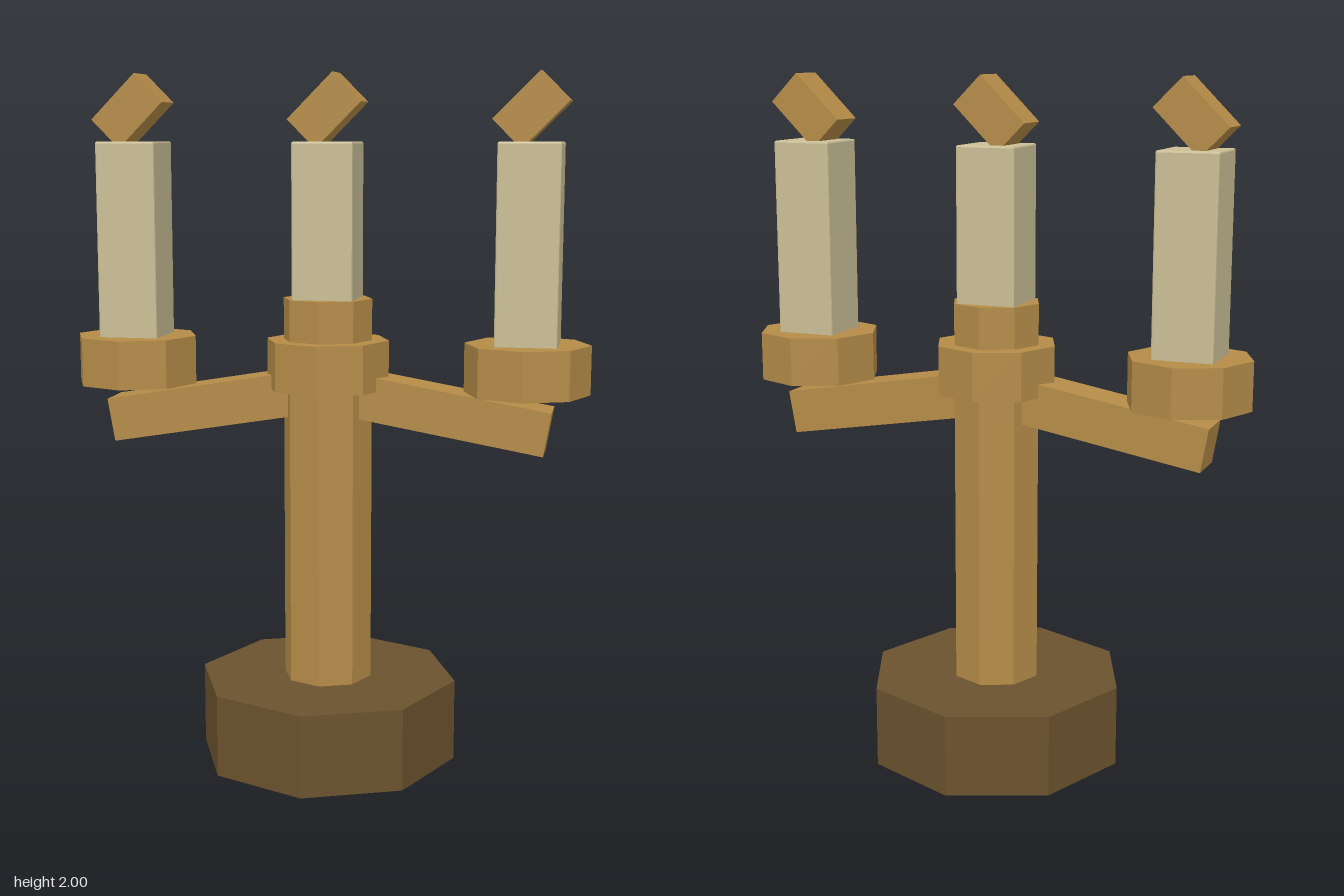
import * as THREE from 'three';
import { RoundedBoxGeometry } from 'three/addons/geometries/RoundedBoxGeometry.js';

function material(name, color) {
  const m = new THREE.MeshStandardMaterial({ color, flatShading: true });
  m.name = name;
  return m;
}

export function createModel() {
  const group = new THREE.Group();
  group.name = 'candelabra';
  const brass = material('brass', 0xb58c48);
  const darkWood = material('dark wood', 0x6b522d);
  const wax = material('wax', 0xcbbf96);

  function add(name, geometry, mat, x, y, tilt = 0) {
    const mesh = new THREE.Mesh(geometry, mat);
    mesh.name = name;
    mesh.position.set(x, y, 0);
    mesh.rotation.z = tilt;
    group.add(mesh);
  }
  // Upright octagonal block between two heights
  function octagon(name, mat, radius, bottom, top, x = 0) {
    const g = new THREE.CylinderGeometry(radius, radius, top - bottom, 8);
    add(name, g, mat, x, (bottom + top) / 2);
  }

  // Foot and central post
  octagon('base', darkWood, 0.382, 0, 0.24);
  octagon('post', brass, 0.13, 0.23, 1.365);

  // Sloping arms, running from inside the post to under the outer cups
  const slope = THREE.MathUtils.degToRad(9.7);
  const length = 0.59;
  for (const side of [-1, 1]) {
    const x = 0.64 - (length / 2) * Math.cos(slope);
    const y = 0.9975 + (length / 2) * Math.sin(slope);
    add(side > 0 ? 'leftArm' : 'rightArm',
      new THREE.BoxGeometry(length, 0.127, 0.127), brass, side * x, y, -side * slope);
  }

  // Cup, candle and tilted flame at each of the three places
  for (const [place, x, bottom] of [['right', -0.575, 1.24], ['centre', 0, 1.36], ['left', 0.575, 1.24]]) {
    octagon(place + 'Cup', brass, 0.179, 1.105, 1.246, x);
    add(place + 'Candle', new RoundedBoxGeometry(0.175, 1.808 - bottom, 0.175, 1, 0.005),
      wax, x, (1.808 + bottom) / 2);
    add(place + 'Flame', new THREE.BoxGeometry(0.184, 0.115, 0.117), brass, x, 1.894, Math.PI / 4);
  }
  return group;
}
